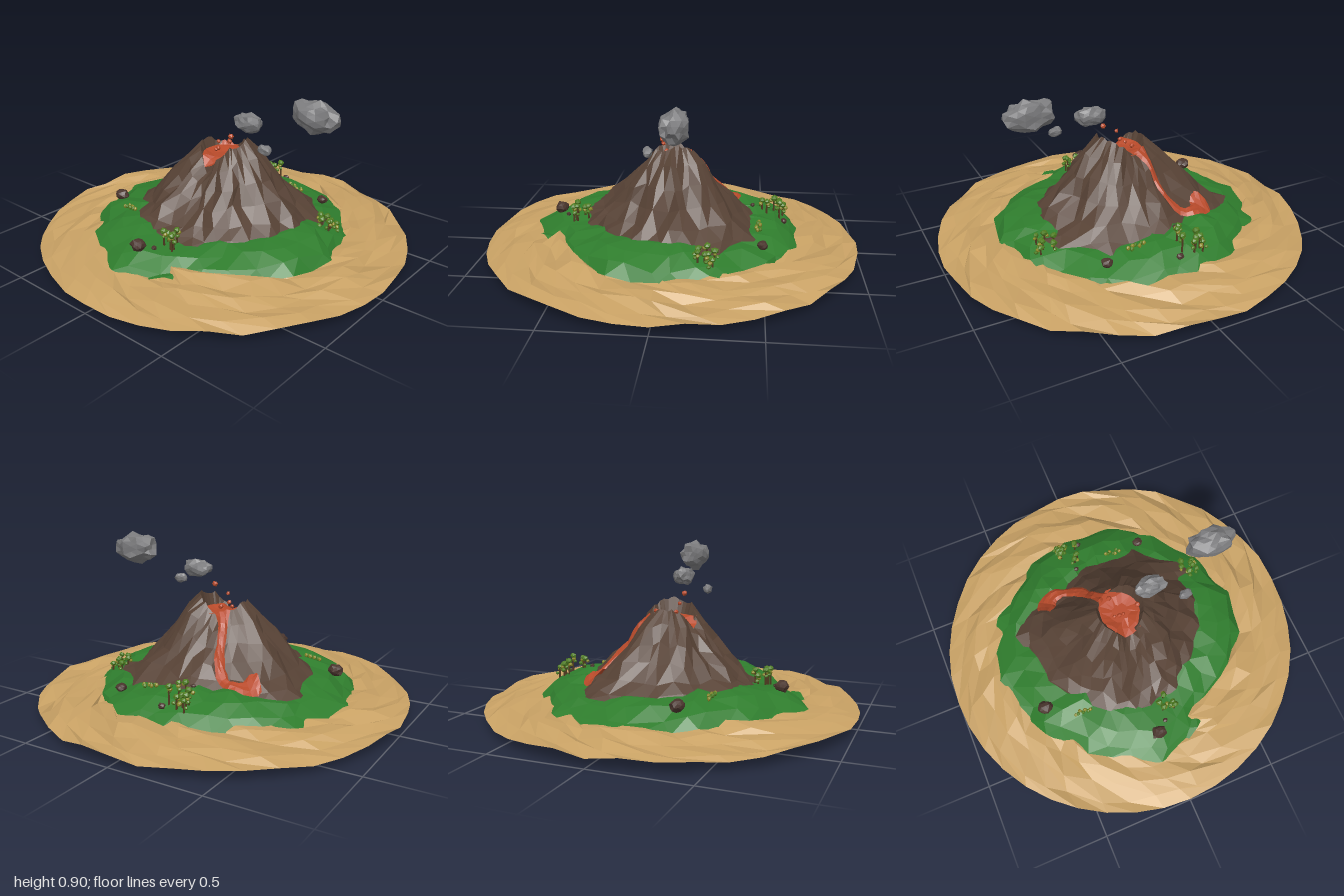
import * as THREE from 'three';

const mat = (color) => new THREE.MeshStandardMaterial({ color, flatShading: true, side: THREE.DoubleSide });
const M = {
  sand: mat(0xc8a164), grass: mat(0x2f7d2d), rock: mat(0x574235), lava: mat(0xb84a2a),
  smoke: mat(0x7b7b7d), leaf: mat(0x4f7d22), leafLight: mat(0x8a8a2a), trunk: mat(0x4f3a20), boulder: mat(0x4a352d),
};

// repeatable noise in -1..1
const hash = (a, b = 0, c = 0) => {
  const s = Math.sin(a * 127.1 + b * 311.7 + c * 74.7 + 3.3) * 43758.5453;
  return 2 * (s - Math.floor(s)) - 1;
};

// value from a table spaced evenly round the circle (+x towards +z)
const around = (table, a) => {
  const n = table.length, f = ((a / (2 * Math.PI)) % 1 + 1) % 1 * n, i = Math.floor(f);
  return THREE.MathUtils.lerp(table[i % n], table[(i + 1) % n], f - i);
};

// sheet of rings from outside to centre; rule(angle, ring, seg) returns [radius, y]
function ringSheet(rings, segs, twist, centreY, rule) {
  const pos = [], idx = [];
  for (let k = 0; k < rings; k++) {
    for (let s = 0; s < segs; s++) {
      const a = (s + k * twist + (k ? hash(k, s, 9) * 0.25 : 0)) / segs * Math.PI * 2;
      const [r, y] = rule(a, k, s);
      pos.push(r * Math.cos(a), y, r * Math.sin(a));
    }
  }
  pos.push(0, centreY, 0);
  for (let s = 0; s < segs; s++) {
    const t = (s + 1) % segs;
    for (let k = 0; k < rings - 1; k++) {
      const a = k * segs + s, b = k * segs + t, c = a + segs, d = b + segs;
      idx.push(a, c, b, b, c, d);
    }
    idx.push((rings - 1) * segs + s, rings * segs, (rings - 1) * segs + t);
  }
  const g = new THREE.BufferGeometry();
  g.setAttribute('position', new THREE.Float32BufferAttribute(pos, 3));
  g.setIndex(idx);
  g.computeVertexNormals();
  return g;
}

const GRASS = [.71, .69, .64, .66, .76, .71, .68, .72, .74, .74, .70, .69, .71, .74, .71, .66];
const FOOT = [.53, .5, .46, .45, .49, .55, .52, .51, .54, .58, .52, .48, .48, .51, .53, .54];
const RIM = [.6, .59, .57, .53, .42, .49, .55, .57, .57, .56, .53, .5, .53, .57, .6, .6];

// lumpy stone shape
function lump(name, material, x, y, z, sx, sy, sz, seed, detail = 1) {
  const g = new THREE.IcosahedronGeometry(1, detail), p = g.attributes.position;
  for (let i = 0; i < p.count; i++) {
    const q = (v) => Math.round(v * 50);
    const f = 0.9 + 0.15 * hash(q(p.getX(i)) + seed, q(p.getY(i)), q(p.getZ(i)));
    p.setXYZ(i, p.getX(i) * f * sx, p.getY(i) * f * sy, p.getZ(i) * f * sz);
  }
  g.computeVertexNormals();
  const m = new THREE.Mesh(g, material);
  m.name = name;
  m.position.set(x, y, z);
  return m;
}

export function createModel() {
  const root = new THREE.Group();
  root.name = 'volcanoIsland';
  const add = (name, geo, material) => {
    const m = new THREE.Mesh(geo, material);
    m.name = name;
    root.add(m);
    return m;
  };

  // low domed beach with a spiral of facets
  const sandR = [1, .93, .85, .77, .69, .6, .5, .39, .27, .14];
  const sandY = [.058, .07, .085, .1, .11, .118, .128, .138, .15, .16];
  add('beach', ringSheet(10, 40, 1.4, .17, (a, k, s) => [
    sandR[k] + (k ? hash(k, s) * .025 : 0),
    sandY[k] + hash(k, s, 2) * (k ? .021 : .016),
  ]), M.sand);

  // grass mound, with one corner dipping through the beach
  const grassF = [1, .92, .8, .67, .4], grassY = [.1, .14, .18, .2, .205];
  const grass = add('grass', ringSheet(5, 34, 0.4, .2, (a, k, s) => {
    if (k === 0 && s === 29) return [.72, .005];
    const hump = k > 0 && k < 4 ? .018 * Math.sin(a * 3 + 1) : 0;
    return [around(GRASS, a) * grassF[k] * (1 + hash(k, s, 4) * .03),
      grassY[k] + hump + hash(k, s, 5) * (k ? .014 : .024)];
  }), M.grass);

  // mountain slope, rim and crater
  const T = [0, .12, .3, .48, .66, .83, 1];
  const H = [0, .07, .2, .39, .6, .83, 1];
  const mountain = add('mountain', ringSheet(9, 36, 0.3, .43, (a, k, s) => {
    const rim = around(RIM, a), foot = around(FOOT, a);
    if (k === 7) return [.09, Math.min(.47, rim - .02)];
    if (k === 8) return [.05, .43];
    const mid = Math.sin(T[k] * Math.PI);
    const ridge = mid * (.022 * Math.sin(a * 7 + k * .5) + hash(k, s, 6) * .022);
    return [THREE.MathUtils.lerp(foot, .125, T[k]) + ridge + (k ? 0 : hash(s, 7) * .025),
      THREE.MathUtils.lerp(.17, rim, H[k]) + hash(k, s, 8) * .014];
  }), M.rock);

  // height of the ground at a point
  const ray = new THREE.Raycaster();
  const ground = (x, z) => {
    ray.set(new THREE.Vector3(x, 2, z), new THREE.Vector3(0, -1, 0));
    const hit = ray.intersectObjects([grass, mountain])[0];
    return hit ? hit.point.y : .1;
  };

  // lava pool spilling at the front notch
  add('lavaPool', ringSheet(3, 18, 0, .505, (a, k, s) => [
    [.13, .1, .05][k] + hash(k, s, 11) * .012,
    k === 2 ? .505 : Math.min(.52, around(RIM, a) + (k ? .035 : .015)),
  ]), M.lava);

  // lava stream down the back slope, ending in a broad tongue
  const path = new THREE.CatmullRomCurve3([
    [-.03, -.06], [-.09, -.16], [-.125, -.25], [-.17, -.305], [-.23, -.335], [-.3, -.325], [-.36, -.26],
  ].map(([x, z]) => new THREE.Vector3(x, 0, z)));
  const widths = [.05, .03, .025, .025, .03, .058, .045];
  const N = 18, C = 4, pos = [], idx = [];
  for (let i = 0; i <= N; i++) {
    const u = i / N, p = path.getPointAt(u), t = path.getTangentAt(u);
    const f = u * 5.99, w = THREE.MathUtils.lerp(widths[Math.floor(f)], widths[Math.floor(f) + 1], f % 1) * (1 + .2 * hash(i, 12));
    for (let j = 0; j <= C; j++) {
      const o = (j / C * 2 - 1) * w, x = p.x - t.z * o, z = p.z + t.x * o;
      const lift = j % C === 0 ? .004 : .02;
      const y = i < 4 ? Math.max(ground(x, z), .47) : ground(x, z);
      pos.push(x, y + lift, z);
      if (i < N && j < C) {
        const a = i * (C + 1) + j, b = a + C + 1;
        idx.push(a, a + 1, b, a + 1, b + 1, b);
      }
    }
  }
  const stream = new THREE.BufferGeometry();
  stream.setAttribute('position', new THREE.Float32BufferAttribute(pos, 3));
  stream.setIndex(idx);
  stream.computeVertexNormals();
  add('lavaStream', stream, M.lava);

  // smoke clouds
  root.add(
    lump('largeSmoke', M.smoke, .52, .812, -.065, .143, .09, .078, 1, 2),
    lump('middleSmoke', M.smoke, .17, .722, .005, .092, .055, .056, 2, 2),
    lump('smallSmoke', M.smoke, .335, .636, .085, .043, .03, .028, 3, 1),
  );

  // flying embers
  [[.08, .637, .04, .019], [.0, .592, .045, .013], [-.015, .548, .03, .015], [-.03, .55, -.08, .016], [-.04, .53, .02, .012]]
    .forEach(([x, y, z, r], i) => root.add(lump('ember', M.lava, x, y, z, r, r, r, i, 0)));

  // boulders on the grass
  [[-.55, .25, .046], [.32, -.49, .034], [-.03, .62, .047], [-.02, -.61, .022], [-.09, -.44, .015], [.03, .57, .015]]
    .forEach(([x, z, r], i) => root.add(lump('boulder', M.boulder, x, ground(x, z) + r * .5, z, r, r * .75, r * .85, i + 20)));

  // trees: thin trunk with a few leaf balls
  const tree = (x, z, h, seed) => {
    const g = new THREE.Group();
    g.name = 'tree';
    const trunk = new THREE.Mesh(new THREE.CylinderGeometry(.004, .006, h + .02, 5), M.trunk);
    trunk.name = 'trunk';
    trunk.position.y = h / 2 - .01;
    g.add(trunk);
    for (let i = 0; i < 3; i++) {
      const r = (i ? .013 : .02) + .003 * hash(seed, i);
      g.add(lump('leaves', i === 1 ? M.leafLight : M.leaf,
        i ? .018 * hash(seed, i, 1) : 0, h - i * .016, i ? .018 * hash(seed, i, 2) : 0, r, r * .9, r, seed + i, 0));
    }
    g.position.set(x, ground(x, z), z);
    root.add(g);
  };
  // groves: centre x, z, spread x, z, count, tree height
  [[-.11, -.545, .07, .08, 8, .088], [.525, -.21, .05, .06, 7, .06], [.075, .5, .06, .07, 6, .085]]
    .forEach(([x, z, sx, sz, n, h], c) => {
      for (let i = 0; i < n; i++) {
        tree(x + sx * hash(i, c, 31), z + sz * hash(i, c, 32), h * (.8 + .25 * hash(i, c, 33)), c * 40 + i);
      }
    });

  // low shrubs
  [[-.37, .355], [.15, -.47]].forEach(([x, z], c) => {
    for (let i = 0; i < 7; i++) {
      const px = x + (i - 3) * .014, pz = z + .012 * hash(i, c, 41);
      root.add(lump('shrub', i % 2 ? M.leaf : M.leafLight, px, ground(px, pz) + .01, pz, .012, .015, .012, i + c * 9, 0));
    }
  });

  return root;
}
